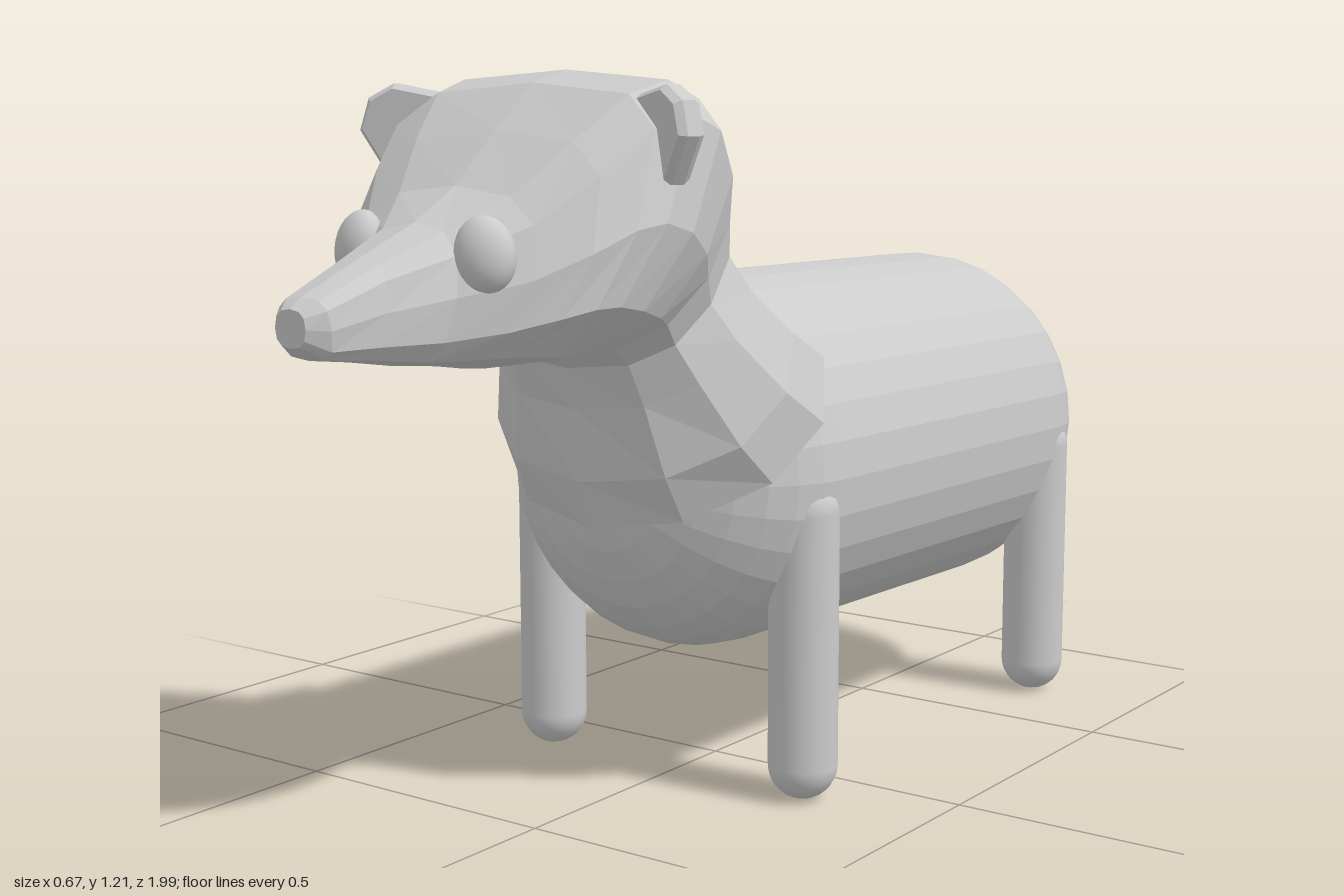
import * as THREE from 'three';

const flat = new THREE.MeshStandardMaterial({ color: 0xcccccc, flatShading: true, side: THREE.DoubleSide });
const smooth = new THREE.MeshStandardMaterial({ color: 0xcccccc });

function add(parent, name, geometry, material = smooth) {
  const mesh = new THREE.Mesh(geometry, material);
  mesh.name = name;
  parent.add(mesh);
  return mesh;
}

// Lofted shell: each section is [topY, topZ, bottomY, bottomZ, halfWidth, upperPower, lowerPower, sidePullBack]
function loft(sections, sides) {
  const pos = [], index = [];
  const power = (v, e) => Math.sign(v) * Math.abs(v) ** e;
  for (const [ty, tz, by, bz, w, up, low, pull = 0] of sections) {
    for (let i = 0; i < sides; i++) {
      const a = (i / sides) * Math.PI * 2;
      const c = Math.cos(a), s = Math.sin(a);
      const e = c > 0.01 ? up : low;
      const v = Math.abs(c) < 0.01 ? 0 : power(c, e);
      const x = Math.abs(s) < 0.01 ? 0 : w * power(s, e);
      pos.push(x, (ty + by) / 2 + (v * (ty - by)) / 2, (tz + bz) / 2 + (v * (tz - bz)) / 2 - pull * s * s);
    }
  }
  const last = sections.length - 1;
  for (let k = 0; k < last; k++) {
    for (let i = 0; i < sides; i++) {
      const j = (i + 1) % sides;
      const a = k * sides + i, b = k * sides + j, c = b + sides, d = a + sides;
      index.push(a, d, c, a, c, b);
    }
  }
  // Close the final ring
  for (let i = 1; i < sides - 1; i++) index.push(last * sides, last * sides + i + 1, last * sides + i);
  const g = new THREE.BufferGeometry();
  g.setAttribute('position', new THREE.Float32BufferAttribute(pos, 3));
  g.setIndex(index);
  g.computeVertexNormals();
  return g;
}

export function createModel() {
  const model = new THREE.Group();
  model.name = 'animal';

  // Barrel body with slightly flattened round ends
  const body = add(model, 'body', new THREE.CapsuleGeometry(0.322, 0.98, 8, 32), flat);
  body.scale.y = 0.785;
  body.rotation.x = Math.PI / 2 - 0.018;
  body.position.set(0, 0.538, -0.3);

  // Neck, skull and snout as one shell, from the collar to the nose
  add(model, 'neckAndHead', loft([
    [0.82, 0.10, 0.47, 0.355, 0.315, 0.8, 0.95, 0.09],
    [0.85, 0.135, 0.55, 0.38, 0.29, 0.75, 0.9, 0.05],
    [0.90, 0.165, 0.67, 0.39, 0.235, 0.65, 0.85, 0.01],
    [0.95, 0.185, 0.74, 0.41, 0.205, 0.6, 0.8],
    [1.01, 0.205, 0.77, 0.46, 0.225, 0.6, 0.8],
    [1.10, 0.25, 0.765, 0.53, 0.265, 0.55, 0.85],
    [1.18, 0.32, 0.76, 0.60, 0.29, 0.5, 0.9],
    [1.21, 0.40, 0.765, 0.65, 0.292, 0.5, 0.9],
    [1.19, 0.48, 0.77, 0.68, 0.28, 0.55, 0.9],
    [1.12, 0.57, 0.775, 0.71, 0.245, 0.65, 0.9],
    [1.04, 0.66, 0.78, 0.75, 0.185, 0.75, 0.85],
    [0.99, 0.75, 0.785, 0.80, 0.105, 0.8, 0.7],
    [0.945, 0.865, 0.80, 0.89, 0.066, 0.7, 0.6],
    [0.90, 0.975, 0.81, 0.965, 0.052, 0.7, 0.6],
    [0.885, 0.998, 0.83, 0.998, 0.03, 0.8, 0.8],
  ], 12), flat);

  // Angular ear outline, pointing outwards
  const earShape = new THREE.Shape([
    [-0.06, 0.05], [0.02, 0.065], [0.058, 0.045], [0.072, 0], [0.03, -0.065], [-0.05, -0.07],
  ].map(([x, y]) => new THREE.Vector2(x, y)));
  const earGeometry = new THREE.ExtrudeGeometry(earShape, {
    depth: 0.02, bevelThickness: 0.012, bevelSize: 0.008, bevelSegments: 1,
  });

  for (const [side, label] of [[1, 'left'], [-1, 'right']]) {
    const ear = new THREE.Group();
    ear.name = label + 'Ear';
    ear.scale.x = side;
    model.add(ear);
    const earPart = add(ear, label + 'EarShell', earGeometry, flat);
    earPart.position.set(0.262, 1.115, 0.475);
    earPart.rotation.y = -0.4;

    // Oval eyes set on the slope of the face
    const eye = add(model, label + 'Eye', new THREE.SphereGeometry(1, 20, 14));
    eye.scale.set(0.046, 0.057, 0.034);
    eye.position.set(side * 0.125, 0.948, 0.737);
    eye.rotation.set(-0.15, side * 0.35, side * 0.3);

    // Rounded peg legs
    for (const [z, end] of [[0.118, 'front'], [-0.708, 'back']]) {
      const leg = add(model, end + (side > 0 ? 'Left' : 'Right') + 'Leg', new THREE.CapsuleGeometry(0.059, 0.432, 8, 24));
      leg.position.set(side * 0.271 - 0.006, 0.275, z);
    }
  }

  // Stub tail
  const tail = add(model, 'tail', new THREE.CapsuleGeometry(0.06, 0.17, 8, 20));
  tail.position.set(0, 0.718, -0.855);
  tail.rotation.x = -Math.PI / 2 - 0.3;

  return model;
}
